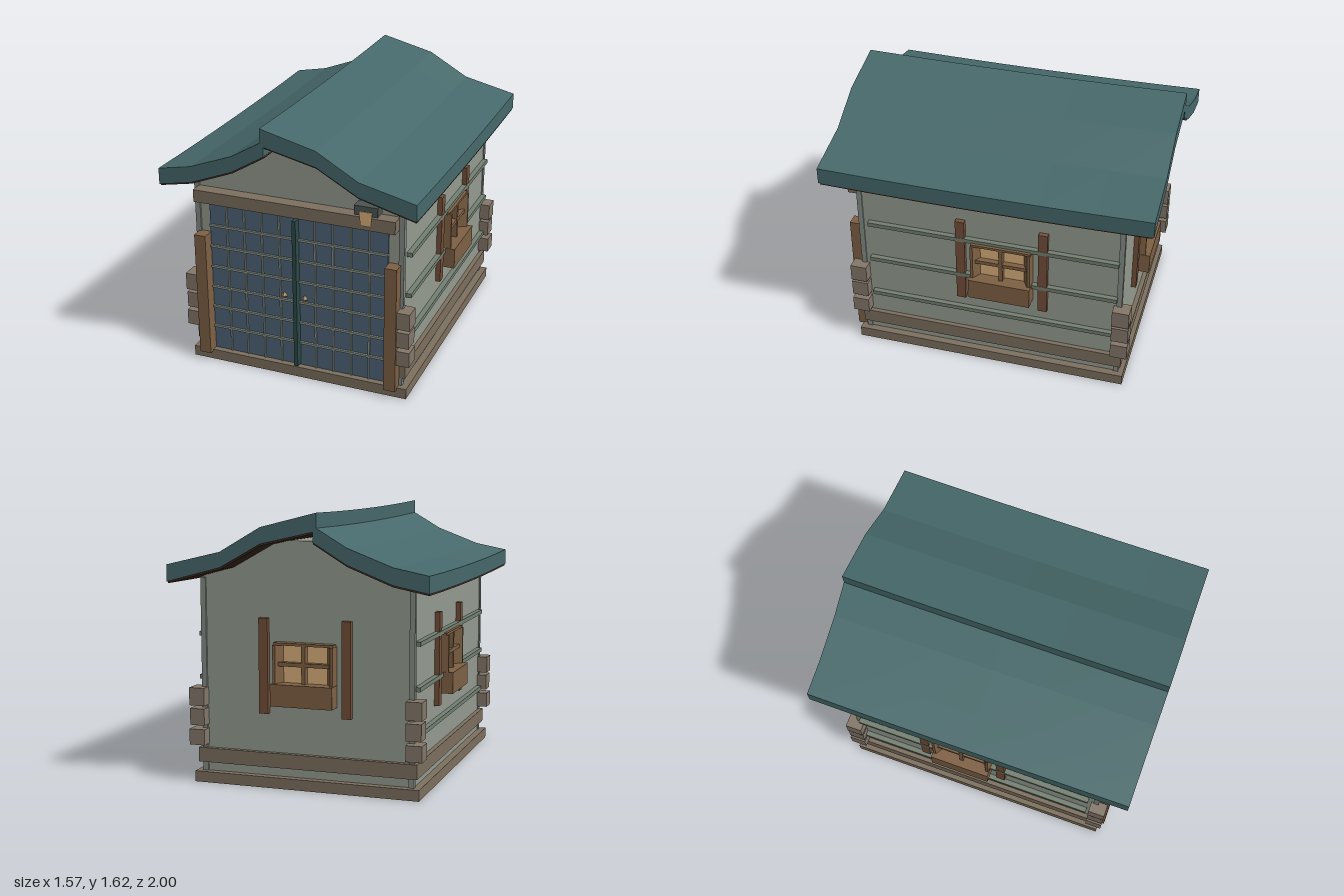
import * as THREE from 'three';

const mat = (color, side = THREE.FrontSide) =>
  new THREE.MeshStandardMaterial({ color, flatShading: true, side });

const M = {
  wall: mat(0x959c91), post: mat(0x858d86), roof: mat(0x47696b), lining: mat(0x40291f),
  timber: mat(0x7d705f), stone: mat(0x85786a), brown: mat(0x7f6144), shutter: mat(0x75503a),
  rail: mat(0x748072), glass: mat(0x50647a), bar: mat(0x8b9489), stile: mat(0x2c4a48),
  amber: mat(0xddb27c), brass: mat(0x9a7a4c), iron: mat(0x4b5552),
};

function add(parent, name, geo, material) {
  const mesh = new THREE.Mesh(geo, material);
  mesh.name = name;
  parent.add(mesh);
  return mesh;
}

// Box given by its lower and upper limits on each axis
function box(parent, name, [x0, x1], [y0, y1], [z0, z1], material) {
  const mesh = add(parent, name, new THREE.BoxGeometry(x1 - x0, y1 - y0, z1 - z0), material);
  mesh.position.set((x0 + x1) / 2, (y0 + y1) / 2, (z0 + z1) / 2);
  return mesh;
}

// Outline in x, y extruded along z, centred on z = 0, sagging in the middle
function extrudeZ(points, depth, steps = 1, sag = 0) {
  const shape = new THREE.Shape(points.map(([x, y]) => new THREE.Vector2(x, y)));
  const geo = new THREE.ExtrudeGeometry(shape, { depth, steps, bevelEnabled: false });
  geo.translate(0, 0, -depth / 2);
  const p = geo.attributes.position;
  for (let i = 0; i < p.count; i++) {
    const t = p.getZ(i) / (depth / 2);
    p.setY(i, p.getY(i) - sag * (1 - t * t));
  }
  geo.computeVertexNormals();
  return geo;
}

// Window unit facing +z, with the wall at z = 0
function createWindow() {
  const g = new THREE.Group();
  g.name = 'window';
  box(g, 'windowGlass', [-0.18, 0.18], [0.62, 0.87], [-0.01, 0.008], M.amber);
  for (const s of [-1, 1]) {
    // Splayed jamb, wide at the wall and thin at its outer edge
    const plan = new THREE.Shape([[0.13, 0], [0.19, 0], [0.185, 0.06], [0.168, 0.06]]
      .map(([x, z]) => new THREE.Vector2(s * x, -z)));
    const jamb = new THREE.ExtrudeGeometry(plan, { depth: 0.26, bevelEnabled: false });
    jamb.rotateX(-Math.PI / 2);
    jamb.translate(0, 0.61, 0);
    add(g, 'windowJamb', jamb, M.brown);
    box(g, 'shutterSlat', [s * 0.255 - 0.028, s * 0.255 + 0.028], [0.455, 1.02], [-0.01, 0.03], M.shutter);
  }
  box(g, 'windowHead', [-0.185, 0.185], [0.868, 0.883], [0, 0.05], M.brown);
  box(g, 'mullion', [-0.012, 0.012], [0.63, 0.87], [0.005, 0.045], M.brown);
  box(g, 'transom', [-0.17, 0.17], [0.745, 0.768], [0.005, 0.043], M.brown);
  box(g, 'flowerBox', [-0.19, 0.19], [0.515, 0.645], [0, 0.09], M.brown);
  return g;
}

export function createModel() {
  const model = new THREE.Group();
  model.name = 'cottage';

  // Base slab and gabled body
  box(model, 'base', [-0.695, 0.695], [0, 0.065], [-0.855, 0.855], M.timber);
  const gable = [[-0.65, 0.06], [0.65, 0.06], [0.65, 1.235], [0.45, 1.3], [0.2, 1.445], [0.1, 1.455],
    [-0.05, 1.455], [-0.11, 1.47], [-0.32, 1.33], [-0.58, 1.225], [-0.65, 1.21]];
  add(model, 'walls', extrudeZ(gable, 1.62), M.wall);

  // Two overlapping roof slabs, each with a dark lining below
  const slabs = [
    { top: [[-0.785, 1.295], [-0.58, 1.335], [-0.315, 1.435], [-0.115, 1.552]],
      low: [[-0.785, 1.197], [-0.58, 1.237], [-0.315, 1.34], [-0.115, 1.46]] },
    { top: [[-0.135, 1.625], [0.2, 1.54], [0.45, 1.395], [0.785, 1.315]],
      low: [[-0.135, 1.522], [0.2, 1.445], [0.45, 1.305], [0.785, 1.215]] },
  ];
  for (const { top, low } of slabs) {
    add(model, 'roofSlab', extrudeZ([...low, ...[...top].reverse()], 2, 6, 0.012), M.roof);
    const under = low.map(([x, y]) => [x * 0.995, y - 0.01]);
    const upper = low.map(([x, y]) => [x * 0.995, y + 0.002]).reverse();
    add(model, 'roofLining', extrudeZ([...under, ...upper], 1.98, 6, 0.012), M.lining);
  }

  // Corner posts, corner stones, side belts and rails, door pillars
  for (const s of [-1, 1]) {
    const span = (a, b) => (s > 0 ? [a, b] : [-b, -a]);
    for (const t of [-1, 1]) {
      const depth = (a, b) => (t > 0 ? [a, b] : [-b, -a]);
      box(model, 'cornerPost', span(0.625, 0.657), [0.06, 1.23], depth(0.79, 0.822), M.post);
      [[0.23, 0.325, 0.718], [0.35, 0.45, 0.712], [0.468, 0.575, 0.716]].forEach(([y0, y1, x]) =>
        box(model, 'cornerStone', span(0.62, x), [y0, y1], depth(0.775, 0.878), M.stone));
    }
    box(model, 'sideBelt', span(0.64, 0.678), [0.12, 0.207], [-0.838, 0.828], M.timber);
    for (const y of [0.365, 0.63, 0.89])
      box(model, 'sideRail', span(0.64, 0.682), [y - 0.013, y + 0.013], [-0.795, 0.755], M.rail);
    box(model, 'doorPillar', span(0.565, 0.638), [0.055, 0.85], [0.81, 0.89], M.brown);
  }
  box(model, 'backBelt', [-0.678, 0.678], [0.12, 0.207], [-0.838, -0.8], M.timber);

  // Windows on both sides and the back
  [[0.65, -0.085, Math.PI / 2], [-0.65, -0.085, -Math.PI / 2], [0, -0.81, Math.PI]].forEach(([x, z, turn], i) => {
    const w = createWindow();
    w.position.set(x, i === 2 ? -0.015 : 0, z);
    w.rotation.y = turn;
    model.add(w);
  });

  // Glazed double door
  const door = new THREE.Group();
  door.name = 'doubleDoor';
  model.add(door);
  box(door, 'doorGlass', [-0.562, 0.562], [0.068, 1.068], [0.8, 0.822], M.glass);
  for (let i = 1; i < 10; i++) {
    const x = -0.5625 + i * 0.1125;
    box(door, 'verticalBar', [x - 0.005, x + 0.005], [0.068, 1.068], [0.815, 0.83], M.bar);
  }
  for (let i = 1; i < 7; i++) {
    const y = 0.088 + i * 0.1355;
    box(door, 'horizontalBar', [-0.562, 0.562], [y - 0.007, y + 0.007], [0.815, 0.835], M.bar);
  }
  box(door, 'centreStile', [-0.012, 0.012], [0.08, 1.035], [0.815, 0.87], M.stile);
  for (const x of [-0.065, 0.065])
    add(door, 'doorKnob', new THREE.OctahedronGeometry(0.023), M.brass).position.set(x, 0.55, 0.872);
  box(model, 'lintel', [-0.63, 0.625], [1.065, 1.142], [0.805, 0.89], M.timber);

  // Lantern under the eave
  box(model, 'lanternBracket', [0.4, 0.54], [1.175, 1.232], [0.865, 0.94], M.iron);
  const lantern = extrudeZ([[0.438, 1.115], [0.502, 1.115], [0.507, 1.2], [0.433, 1.2]], 0.012);
  add(model, 'lanternGlass', lantern, M.amber).position.z = 0.938;

  return model;
}
